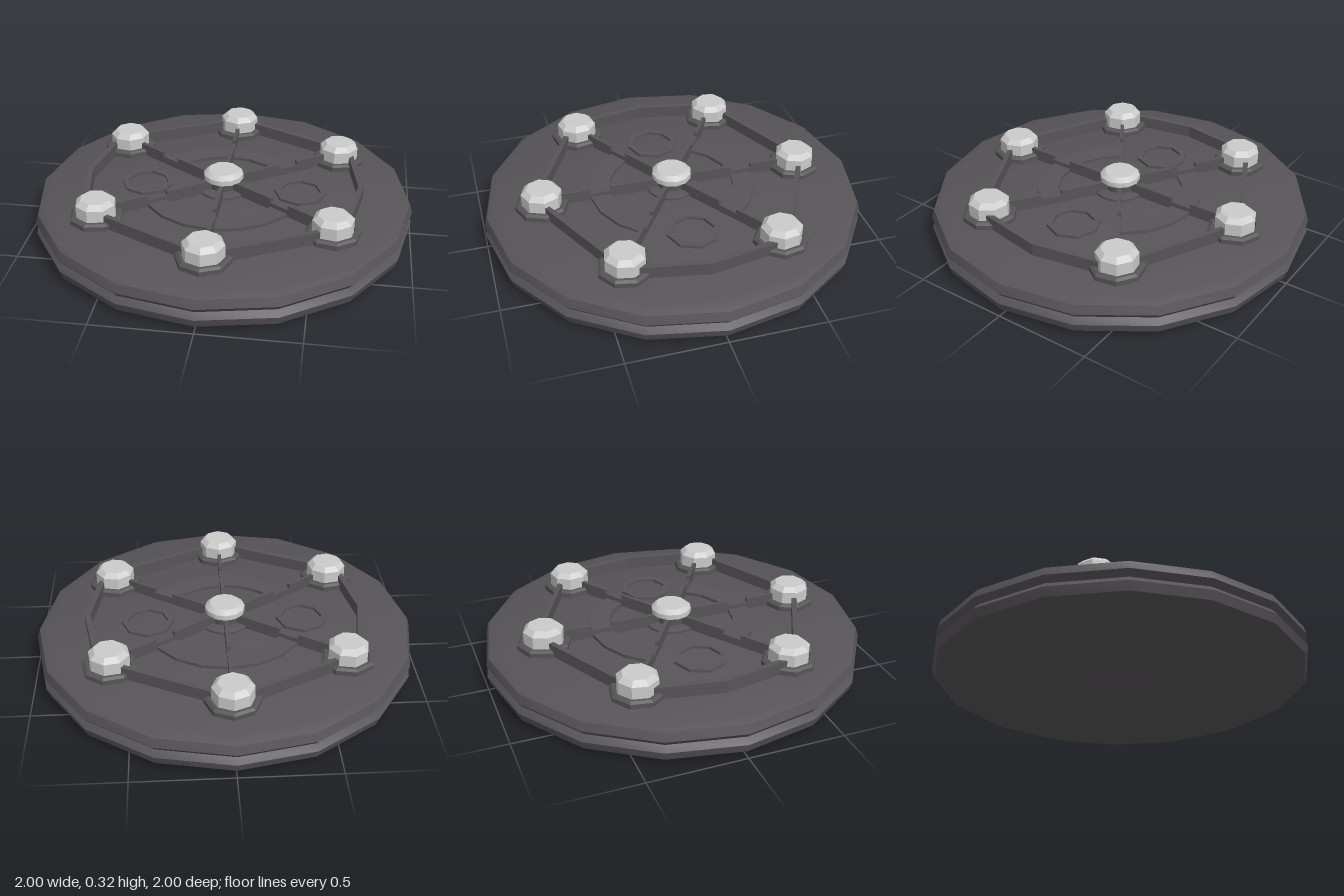
import * as THREE from 'three';
import { toCreasedNormals } from 'three/addons/utils/BufferGeometryUtils.js';

const dark = new THREE.MeshStandardMaterial({ color: 0x575457 });
const grey = new THREE.MeshStandardMaterial({ color: 0xcccccc });
const FLOOR = 0.2;
const RIB_TOP = 0.265;

const v2 = (x, y) => new THREE.Vector2(x, y);

// Regular polygon with its first corner on +x
function polygon(radius, sides) {
  return Array.from({ length: sides }, (_, i) => {
    const a = (i / sides) * Math.PI * 2;
    return v2(radius * Math.cos(a), radius * Math.sin(a));
  });
}

// Points on an arc, in the ground plane
function arc(radius, from, to, steps) {
  return Array.from({ length: steps + 1 }, (_, i) => {
    const a = from + ((to - from) * i) / steps;
    return v2(radius * Math.cos(a), radius * Math.sin(a));
  });
}

// Upright slab over a ground-plane outline, optionally with a hole
function slab(outline, hole, y0, y1) {
  const shape = new THREE.Shape(outline);
  if (hole) shape.holes.push(new THREE.Path(hole));
  const geo = new THREE.ExtrudeGeometry(shape, { depth: y1 - y0, bevelEnabled: false });
  return geo.rotateX(-Math.PI / 2).translate(0, y0, 0);
}

// Turned part from [radius, height] pairs, bottom to top
function turned(points, sides, crease) {
  const geo = new THREE.LatheGeometry(points.map(([r, y]) => v2(r, y)), sides);
  return toCreasedNormals(geo, crease);
}

export function createModel() {
  const model = new THREE.Group();
  const add = (name, geo, material = dark, parent = model) => {
    const mesh = new THREE.Mesh(geo, material);
    mesh.name = name;
    parent.add(mesh);
    return mesh;
  };

  // Sixteen-sided disc with a groove round the rim
  add('disc', turned([
    [0, 0], [0.93, 0.005], [0.985, 0.03], [1, 0.075], [0.975, 0.105],
    [1, 0.135], [0.985, 0.18], [0.93, FLOOR], [0, FLOOR],
  ], 16, 0.6));

  // Raised outline joining the bolts
  const outline = (s) => [
    [0.74, 0], [0.665, 0.415], [0, 0.745], [-0.665, 0.415],
    [-0.74, 0], [-0.665, -0.415], [0, -0.745], [0.665, -0.415],
  ].map(([x, y]) => v2(x * s, y * s));
  add('outlineRib', slab(outline(1), outline(0.96), FLOOR - 0.01, RIB_TOP));

  // Six bolts in octagonal collars, each with a notched spoke to the hub
  const spoke = new THREE.Shape([
    [0.03, 0.19], [0.68, 0.19], [0.68, RIB_TOP], [0.44, RIB_TOP], [0.44, 0.24],
    [0.33, 0.24], [0.33, RIB_TOP], [0.03, RIB_TOP],
  ].map(([x, y]) => v2(x, y)));
  const spokeGeo = new THREE.ExtrudeGeometry(spoke, { depth: 0.02, bevelEnabled: false })
    .translate(0, 0, -0.01);
  const collarGeo = turned([
    [0.14, 0.19], [0.14, 0.225], [0.125, 0.235], [0.11, 0.235], [0.11, 0.205],
  ], 8, 0.3);
  const boltGeo = turned([
    [0.105, 0.2], [0.105, 0.295], [0.078, 0.32], [0, 0.32],
  ], 8, 0.3);
  const spots = [[0, 0.695], [0, -0.695], [0.595, 0.395], [-0.595, 0.395], [0.595, -0.395], [-0.595, -0.395]];
  for (const [x, z] of spots) {
    const angle = Math.atan2(-z, x);
    const fixing = new THREE.Group();
    fixing.name = 'boltFixing';
    fixing.position.set(x, 0, z);
    fixing.rotation.y = angle;
    add('collar', collarGeo, dark, fixing);
    add('bolt', boltGeo, grey, fixing);
    model.add(fixing);
    add('spoke', spokeGeo).rotation.y = angle;
  }

  // Low curved steps in the front and back sectors
  const a0 = 0.588;
  const a1 = Math.PI - a0;
  const band = [...arc(0.44, a0, a1, 6), ...arc(0.33, a0, a1, 6).reverse()];
  const bandGeo = slab(band, null, FLOOR - 0.01, 0.217);
  for (const turn of [0, Math.PI]) add('curvedStep', bandGeo).rotation.y = turn;

  // Octagonal rims in the side sectors
  const rimGeo = slab(polygon(0.138, 8), polygon(0.108, 8), FLOOR - 0.01, 0.215);
  for (const side of [-1, 1]) add('octagonalRim', rimGeo).position.x = side * 0.41;

  // Central hub and cap
  add('hub', turned([[0.135, 0.19], [0.135, 0.212], [0.115, 0.218], [0.075, 0.218], [0.075, 0.275]], 16, 0.5));
  add('hubCap', turned([
    [0, 0.268], [0.105, 0.268], [0.105, 0.295], [0.08, 0.316], [0, 0.316],
  ], 12, 0.55), grey);

  return model;
}
